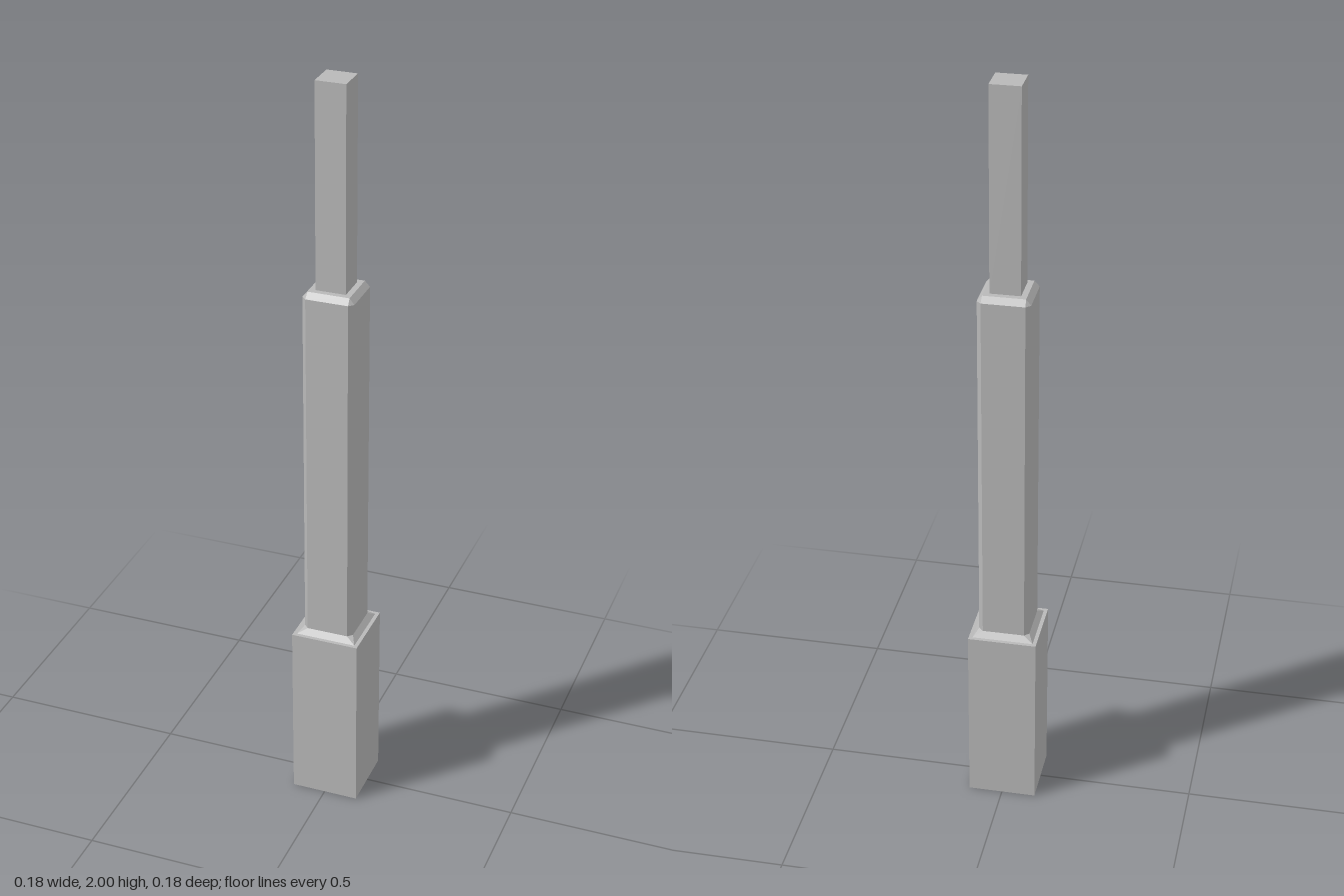
import * as THREE from 'three';
import { ConvexGeometry } from 'three/addons/geometries/ConvexGeometry.js';

// Ring of corners at height y: half width a, corners cut back to b (b = a is a plain square)
function ring(y, a, b = a) {
  const points = [];
  for (const sx of [-1, 1]) for (const sz of [-1, 1]) {
    points.push(new THREE.Vector3(sx * a, y, sz * b));
    if (b !== a) points.push(new THREE.Vector3(sx * b, y, sz * a));
  }
  return points;
}

export function createModel() {
  const model = new THREE.Group();
  model.name = 'steppedPost';
  const grey = new THREE.MeshStandardMaterial({ color: 0xb8b8b8 });
  grey.name = 'plain grey';

  function add(name, geometry, y = 0) {
    const mesh = new THREE.Mesh(geometry, grey);
    mesh.name = name;
    mesh.position.y = y;
    model.add(mesh);
  }

  // Square foot block
  add('base', new THREE.BoxGeometry(0.18, 0.49, 0.18), 0.245);

  // Sloped collar from a square up to the shaft's cut-corner section
  add('collar', new ConvexGeometry([...ring(0.49, 0.08), ...ring(0.505, 0.067, 0.055)]));

  // Shaft with bevelled corners and bevelled top edge
  add('shaft', new ConvexGeometry([
    ...ring(0.505, 0.067, 0.055), ...ring(1.455, 0.067, 0.055), ...ring(1.47, 0.054),
  ]));

  // Slim square pole on top
  add('pole', new THREE.BoxGeometry(0.078, 0.53, 0.078), 1.735);

  return model;
}
